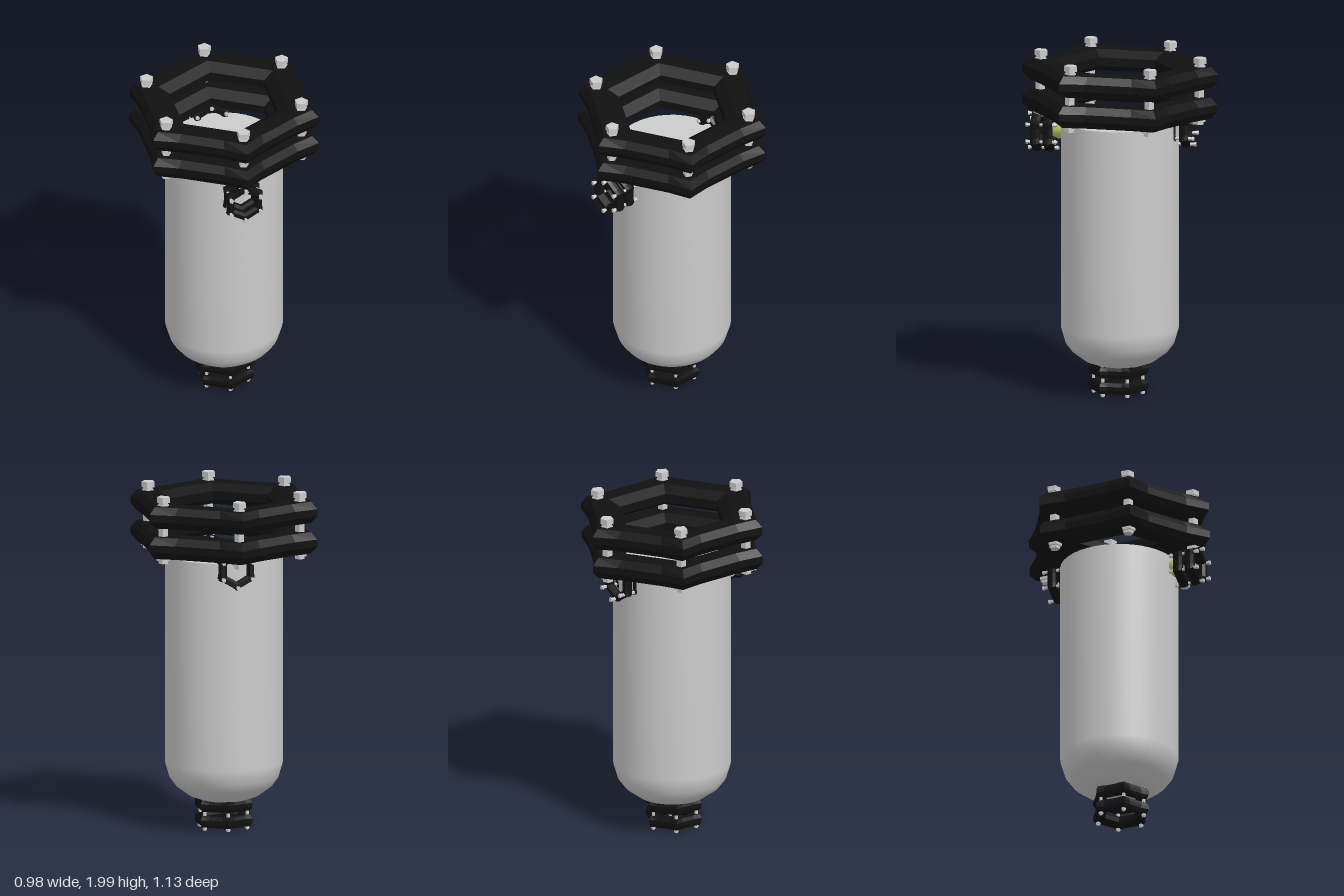
import * as THREE from 'three';

const grey = new THREE.MeshStandardMaterial({ color: 0xcccccc, side: THREE.DoubleSide });
const greyFlat = new THREE.MeshStandardMaterial({ color: 0xcccccc, flatShading: true });
const black = new THREE.MeshStandardMaterial({ color: 0x111111, flatShading: true });
const yellow = new THREE.MeshStandardMaterial({ color: 0xcccc66 });

function add(parent, name, geometry, material, x = 0, y = 0, z = 0) {
  const mesh = new THREE.Mesh(geometry, material);
  mesh.name = name;
  mesh.position.set(x, y, z);
  parent.add(mesh);
  return mesh;
}

// Bevelled hexagonal ring with slightly pinched sides; corners point along z
function hexRing(R, h) {
  // cross-section: radius at corner, height, pinch along the sides
  const section = [
    [1, -0.17, 0.957], [1, 0.17, 0.957], [0.93, 0.5, 0.97], [0.69, 0.5, 1],
    [0.57, 0.2, 1], [0.57, -0.2, 1], [0.69, -0.5, 1], [0.93, -0.5, 0.97],
  ];
  const positions = [], index = [], n = section.length, loops = 18;
  for (let i = 0; i < loops; i++) {
    const side = Math.floor(i / 3), t = [0, 0.25, 0.75][i % 3];
    const a = side * Math.PI / 3, b = a + Math.PI / 3;
    const dx = Math.sin(a) * (1 - t) + Math.sin(b) * t;
    const dz = Math.cos(a) * (1 - t) + Math.cos(b) * t;
    section.forEach(([r, y, pinch], j) => {
      const k = R * r * (t ? pinch : 1);
      positions.push(dx * k, y * h, dz * k);
      const ni = ((i + 1) % loops) * n, nj = (j + 1) % n;
      index.push(i * n + j, ni + j, i * n + nj, ni + j, ni + nj, i * n + nj);
    });
  }
  const g = new THREE.BufferGeometry();
  g.setAttribute('position', new THREE.Float32BufferAttribute(positions, 3));
  g.setIndex(index);
  g.computeVertexNormals();
  return g;
}

// Five-sided bar between two heights
function pentagon(r, y0, y1) {
  return new THREE.CylinderGeometry(r, r, y1 - y0, 5, 1, false, Math.PI / 2).translate(0, (y0 + y1) / 2, 0);
}

// Bolt with a head, threaded end and nut
function bolt(r, y0, y1, threads) {
  const g = new THREE.Group();
  g.name = 'bolt';
  const cap = r * 1.1;
  add(g, 'shank', pentagon(r, y0, y1), greyFlat);
  add(g, 'head', pentagon(r * 1.35, y1 - cap, y1), greyFlat);
  add(g, 'nut', pentagon(r * 1.4, y0 + r * 0.6, y0 + r * 1.6), greyFlat);
  for (let i = 0; i < threads; i++) {
    const y = y1 - cap - 0.012 - i * 0.014;
    add(g, 'thread', pentagon(r * 1.2, y - 0.007, y), greyFlat);
  }
  return g;
}

// Pair of hexagonal rings held by six bolts
function flange(name, R, h, heights, r, y0, y1, threads = 0) {
  const g = new THREE.Group();
  g.name = name;
  const ring = hexRing(R, h);
  for (const y of heights) add(g, 'flangeRing', ring, black, 0, y, 0);
  for (let i = 0; i < 6; i++) {
    const a = i * Math.PI / 3, b = bolt(r, y0, y1, threads);
    b.position.set(Math.sin(a) * R * 0.815, 0, Math.cos(a) * R * 0.815);
    g.add(b);
  }
  return g;
}

export function createModel() {
  const model = new THREE.Group();
  model.name = 'pressureVessel';

  // Tank wall with a rounded base
  const profile = [[0, 0.18], [0.13, 0.18], [0.2, 0.205], [0.275, 0.26], [0.312, 0.31], [0.338, 0.4], [0.338, 1.6]];
  add(model, 'tankBody', new THREE.LatheGeometry(profile.map(p => new THREE.Vector2(...p)), 40), grey);
  add(model, 'tankLid', new THREE.CircleGeometry(0.338, 40).rotateX(-Math.PI / 2), grey, 0, 1.6, 0);

  // Large top flange, leaning slightly
  const top = flange('topFlange', 0.563, 0.125, [-0.0885, 0.0885], 0.029, -0.185, 0.202, 3);
  top.position.set(0, 1.787, 0);
  top.rotation.x = -0.022;
  model.add(top);

  // Bottom outlet flange
  const bottom = flange('bottomFlange', 0.174, 0.065, [0.062, 0.153], 0.01, 0.01, 0.19);
  bottom.position.z = 0.01;
  model.add(bottom);

  // Front and back nozzle flanges
  const front = flange('frontFlange', 0.122, 0.055, [0.405, 0.478], 0.01, 0.35, 0.53);
  front.position.y = 1.528;
  front.rotation.x = Math.PI / 2;
  model.add(front);

  const back = flange('backFlange', 0.12, 0.05, [0.307, 0.38], 0.01, 0.27, 0.44);
  back.position.y = 1.572;
  back.rotation.x = -Math.PI / 2;
  model.add(back);

  // Short inlet pipe, turned a little to the side
  const pipe = new THREE.Group();
  pipe.name = 'inletPipe';
  pipe.position.set(0, 1.54, 0.33);
  pipe.rotation.y = -0.35;
  const tube = new THREE.CylinderGeometry(0.05, 0.05, 0.1, 20, 1, true).rotateX(Math.PI / 2);
  add(pipe, 'pipeWall', tube, yellow);
  add(pipe, 'pipeEnd', new THREE.CircleGeometry(0.05, 20), grey, 0, 0, 0.05);
  model.add(pipe);

  return model;
}
